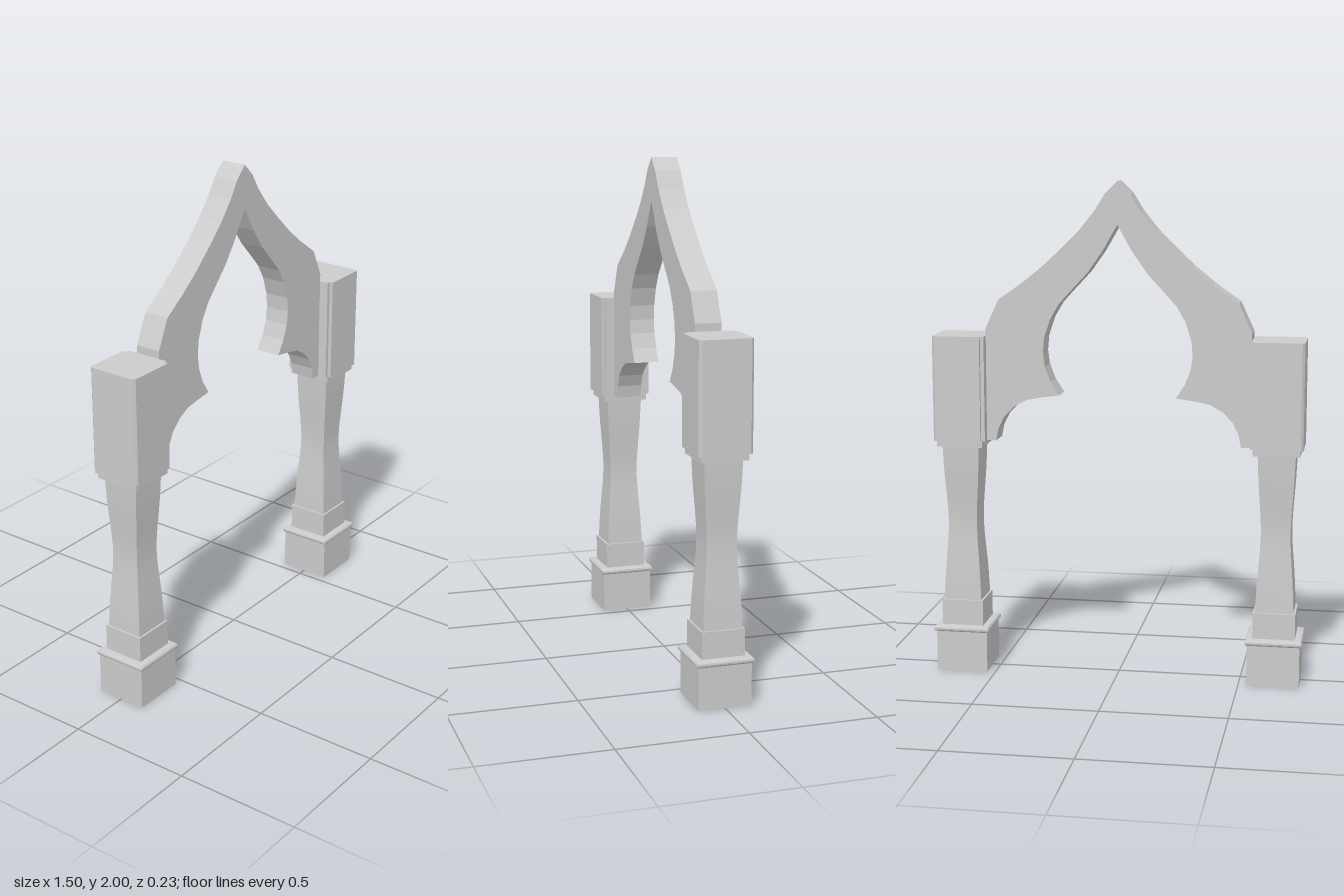
import * as THREE from 'three';
import { toCreasedNormals } from 'three/addons/utils/BufferGeometryUtils.js';

const material = new THREE.MeshStandardMaterial({ color: 0xcccccc });

function add(parent, name, geometry) {
  const mesh = new THREE.Mesh(geometry, material);
  mesh.name = name;
  parent.add(mesh);
  return mesh;
}

// Square-section solid from [half width, height] pairs, bottom to top
function squareTurned(profile) {
  const closed = [[0, profile[0][1]], ...profile, [0, profile[profile.length - 1][1]]];
  const points = closed.map(([half, y]) => new THREE.Vector2(half * Math.SQRT2, y));
  return toCreasedNormals(new THREE.LatheGeometry(points, 4, Math.PI / 4), 0.4);
}

// Post with its inner side facing -x when side is 1, +x when side is -1
function createPost(side) {
  const post = new THREE.Group();
  post.name = side > 0 ? 'leftPost' : 'rightPost';

  add(post, 'base', squareTurned([[0.105, 0], [0.105, 0.165]]));

  // Rounded moulding over the base
  const bead = [];
  for (let i = 0; i <= 6; i++) {
    const a = -Math.PI / 2 + (i / 6) * Math.PI;
    bead.push([0.101 + 0.013 * Math.cos(a), 0.177 + 0.013 * Math.sin(a)]);
  }
  add(post, 'baseMoulding', squareTurned(bead));
  add(post, 'plinth', squareTurned([[0.085, 0.185], [0.085, 0.295]]));

  // Waisted shaft
  const waist = new THREE.SplineCurve([
    [0.077, 0.295], [0.071, 0.42], [0.062, 0.54], [0.059, 0.62], [0.062, 0.7], [0.07, 0.82], [0.075, 0.935],
  ].map(([x, y]) => new THREE.Vector2(x, y)));
  add(post, 'shaft', squareTurned(waist.getPoints(18).map((p) => [p.x, p.y])));
  add(post, 'neck', squareTurned([[0.093, 0.935], [0.093, 0.962]]));

  // Capital block: small chamfers outside, square rebates on the inner corners
  const h = 0.105, c = 0.01, n = 0.015;
  const half = [[h, 0], [h, h - c], [h - c, h], [-h + n, h], [-h + n, h - n], [-h, h - n]];
  const outline = [...half, ...half.slice(1).reverse().map(([x, z]) => [x, -z])];
  const shape = new THREE.Shape(outline.map(([x, z]) => new THREE.Vector2(x * side, z)));
  const block = new THREE.ExtrudeGeometry(shape, { depth: 0.425, bevelEnabled: false });
  block.rotateX(-Math.PI / 2).translate(0, 0.96, 0);
  add(post, 'capital', block);

  post.position.x = side * 0.638;
  return post;
}

// One half of the pointed arch with its cusp
function createArchHalf(side) {
  const outline = [
    // outer edge, apex to post
    [0, 2], [0.05, 1.95], [0.09, 1.885], [0.15, 1.81], [0.22, 1.74], [0.3, 1.665], [0.38, 1.6],
    [0.48, 1.53], [0.533, 1.415], [0.533, 0.96], [0.495, 0.96],
    // lower bracket curve to the cusp
    [0.485, 1.01], [0.46, 1.06], [0.42, 1.1], [0.37, 1.128], [0.31, 1.14], [0.235, 1.15],
    // inner edge, cusp to apex
    [0.27, 1.205], [0.293, 1.265], [0.3, 1.32], [0.295, 1.38], [0.27, 1.455], [0.235, 1.515],
    [0.19, 1.565], [0.12, 1.64], [0.06, 1.725], [0, 1.83],
  ];
  const shape = new THREE.Shape(outline.map(([x, y]) => new THREE.Vector2(x * side, y)));
  const geometry = new THREE.ExtrudeGeometry(shape, { depth: 0.104, bevelEnabled: false });
  return geometry.translate(0, 0, -0.052);
}

export function createModel() {
  const model = new THREE.Group();
  model.name = 'archway';
  for (const side of [1, -1]) {
    model.add(createPost(side));
    add(model, side > 0 ? 'leftArchHalf' : 'rightArchHalf', createArchHalf(side));
  }
  return model;
}
